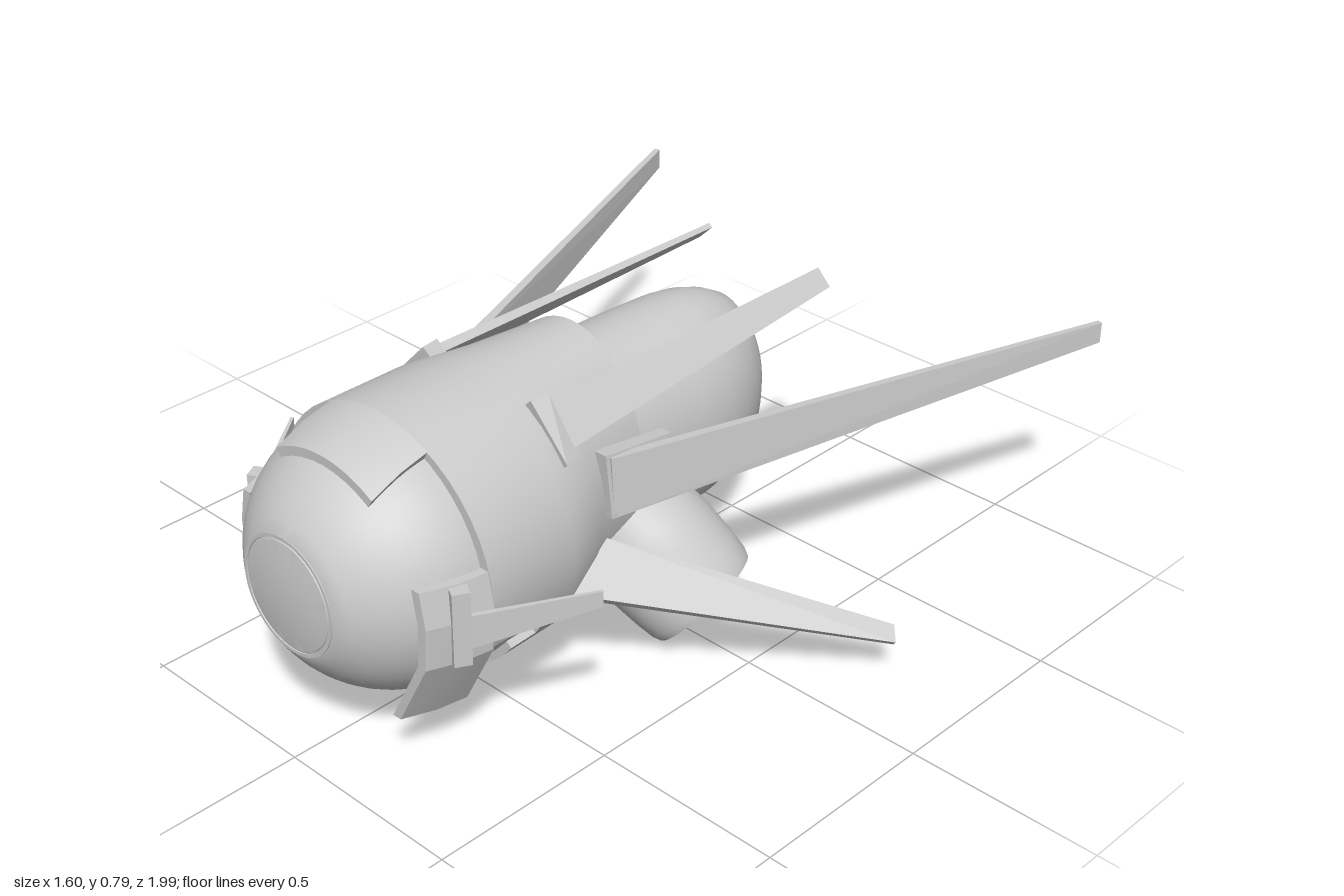
import * as THREE from 'three';
import { toCreasedNormals } from 'three/addons/utils/BufferGeometryUtils.js';
import { ConvexGeometry } from 'three/addons/geometries/ConvexGeometry.js';

const CY = 0.44; // height of the hull axis
const material = new THREE.MeshStandardMaterial({ color: 0xcccccc });
const V = (x, y, z) => new THREE.Vector3(x, y, z);

function add(parent, name, geometry) {
  const mesh = new THREE.Mesh(geometry, material);
  mesh.name = name;
  parent.add(mesh);
  return mesh;
}

// Closed solid through equal-length loops of points, with strip caps at both ends
function loft(loops, crease = 0.6) {
  const n = loops[0].length, pts = loops.flat(), index = [];
  const quad = (a, b, c, d) => index.push(a, b, c, a, c, d);
  for (let i = 0; i < loops.length - 1; i++)
    for (let j = 0; j < n; j++) {
      const k = (j + 1) % n;
      quad(i * n + j, i * n + k, (i + 1) * n + k, (i + 1) * n + j);
    }
  const e = (loops.length - 1) * n;
  for (let j = 0; j < n / 2 - 1; j++) {
    quad(n - 1 - j, n - 2 - j, j + 1, j);
    quad(e + j, e + j + 1, e + n - 2 - j, e + n - 1 - j);
  }
  // turn the faces outward whichever way the loops run
  let volume = 0;
  for (let i = 0; i < index.length; i += 3)
    volume += pts[index[i]].dot(V(0, 0, 0).crossVectors(pts[index[i + 1]], pts[index[i + 2]]));
  if (volume < 0) index.reverse();
  const g = new THREE.BufferGeometry().setFromPoints(pts);
  g.setIndex(index);
  return toCreasedNormals(g, crease);
}

const ring = (z, rx, ry, n = 48) => Array.from({ length: n }, (_, i) => {
  const a = i / n * Math.PI * 2;
  return V(rx * Math.sin(a), CY + ry * Math.cos(a), z);
});

// Thick elliptical arc: mid and half angles in degrees, measured from straight up
function arc(z, rx, ry, mid, half, t, n = 28) {
  const outer = [], inner = [];
  for (let i = 0; i <= n; i++) {
    const a = THREE.MathUtils.degToRad(mid - half + 2 * half * i / n);
    outer.push(V(rx * Math.sin(a), CY + ry * Math.cos(a), z));
    inner.unshift(V((rx - t) * Math.sin(a), CY + (ry - t) * Math.cos(a), z));
  }
  return [...outer, ...inner];
}

// Tapered blade between a root chord and a tip chord
function blade(s, [a, b], [c, d], thick, tipThick) {
  const p = [a, b, c, d].map(q => V(s * q[0], q[1], q[2]));
  const normal = p[1].clone().sub(p[0]).cross(p[2].clone().sub(p[0])).normalize();
  return new ConvexGeometry(p.flatMap((q, i) => [1, -1].map(
    k => q.clone().addScaledVector(normal, k * (i < 2 ? thick : tipThick) / 2))));
}

const lathe = (points, n = 40) => toCreasedNormals(
  new THREE.LatheGeometry(points.map(p => new THREE.Vector2(...p)), n), 0.6);

export function createModel() {
  const model = new THREE.Group();

  // Hull: round front cut off at the lens, narrowing into a tall oval rear pod
  const sections = [], R = 0.335, start = Math.asin(0.15 / R);
  for (let i = 0; i <= 10; i++) {
    const a = THREE.MathUtils.lerp(start, Math.PI / 2, i / 10), r = R * Math.sin(a);
    sections.push(ring(0.68 + R * Math.cos(a), r, Math.min(r, 0.33)));
  }
  for (const [z, rx, ry] of [[0.48, 0.33, 0.325], [0.3, 0.265, 0.305], [0.1, 0.23, 0.288],
    [-0.15, 0.222, 0.285], [-0.25, 0.212, 0.283], [-0.32, 0.196, 0.274], [-0.38, 0.172, 0.255],
    [-0.43, 0.145, 0.228], [-0.47, 0.112, 0.18], [-0.497, 0.075, 0.122], [-0.512, 0.03, 0.05]])
    sections.push(ring(z, rx, ry));
  add(model, 'hull', loft(sections, 0.9));

  // Front lens with a narrow groove around it, nearly flush with the hull
  const lens = add(model, 'frontLens', lathe([[0, -0.05], [0.15, -0.05], [0.15, 0.002],
    [0.142, 0.002], [0.139, -0.006], [0.136, 0.002], [0.1, 0.008], [0.05, 0.012], [0, 0.014]], 48));
  lens.rotation.x = Math.PI / 2;
  lens.position.set(0, CY, 0.98);

  // Armour shells
  add(model, 'upperShell', loft([
    arc(0.7, 0.36, 0.35, 0, 110, 0.035), arc(0.45, 0.36, 0.35, 0, 110, 0.035),
    arc(0.3, 0.295, 0.35, 0, 102, 0.035), arc(0.1, 0.245, 0.35, 0, 98, 0.035)]));
  add(model, 'bellyPan', loft([
    arc(0.58, 0.35, 0.35, 180, 54, 0.03), arc(0.5, 0.345, 0.35, 180, 54, 0.03),
    arc(0.5, 0.345, 0.35, 180, 62, 0.03), arc(0.2, 0.325, 0.35, 180, 62, 0.03)]));
  add(model, 'browPlate', loft([
    arc(0.7, 0.355, 0.352, 0, 27, 0.028), arc(0.78, 0.34, 0.335, 0, 28.4, 0.028),
    arc(0.86, 0.308, 0.305, 0, 31.4, 0.028)]));

  for (const s of [1, -1]) {
    const side = new THREE.Group();
    side.name = s > 0 ? 'leftSide' : 'rightSide';
    model.add(side);

    // Thin cheek plate hugging the round front
    const outline = [[0.345, 0.53], [0.362, 0.44], [0.355, 0.33], [0.262, 0.15]];
    const cheek = (z, dx) => [
      ...outline.map(([x, y]) => V(s * (x - dx), y, z)),
      ...outline.map(([x, y]) => V(s * (x - dx - 0.025), y, z)).reverse()];
    add(side, 'cheekPlate', loft([cheek(0.7, 0), cheek(0.78, 0.014), cheek(0.86, 0.045)], 0.2));

    // Small front fin and its mount
    const mount = add(side, 'smallFinMount', new THREE.BoxGeometry(0.035, 0.19, 0.042));
    mount.position.set(s * 0.345, 0.43, 0.785);
    mount.rotation.y = -s * 0.5;
    add(side, 'smallFin', blade(s, [[0.345, 0.37, 0.8], [0.345, 0.46, 0.8]],
      [[0.53, 0.45, 0.535], [0.53, 0.49, 0.535]], 0.014, 0.008));

    // Upper rear fin lying along the shell
    add(side, 'upperFinMount', blade(s, [[0.165, 0.755, 0.405], [0.28, 0.635, 0.405]],
      [[0.172, 0.755, 0.355], [0.265, 0.635, 0.355]], 0.04, 0.04));
    add(side, 'upperFin', blade(s, [[0.18, 0.745, 0.38], [0.26, 0.655, 0.38]],
      [[0.178, 0.742, -0.585], [0.218, 0.702, -0.585]], 0.024, 0.014));

    // Long swept fin
    add(side, 'longFinMount', blade(s, [[0.29, 0.455, 0.28], [0.27, 0.615, 0.28]],
      [[0.31, 0.465, 0.09], [0.3, 0.61, 0.09]], 0.045, 0.035));
    add(side, 'longFin', blade(s, [[0.3, 0.455, 0.27], [0.29, 0.61, 0.27]],
      [[0.752, 0.595, -0.995], [0.752, 0.65, -0.995]], 0.024, 0.016));

    // Lower swept fin
    add(side, 'lowerFin', blade(s, [[0.25, 0.32, 0.47], [0.25, 0.39, 0.29]],
      [[0.795, 0.114, -0.18], [0.767, 0.139, -0.207]], 0.03, 0.018));

    // Thruster: domed pod with a stepped nozzle, pointing out, down and back
    const thruster = add(side, 'thruster', lathe([[0, -0.4], [0.06, -0.388], [0.11, -0.355],
      [0.148, -0.3], [0.167, -0.23], [0.169, -0.16], [0.163, -0.07], [0.157, -0.02], [0.149, 0],
      [0.13, 0], [0.122, -0.04], [0.105, -0.04], [0.1, -0.012], [0.082, -0.012],
      [0.064, -0.06], [0.05, -0.065], [0.042, -0.03], [0, -0.025]]));
    thruster.position.set(s * 0.339, 0.111, -0.01);
    thruster.quaternion.setFromUnitVectors(V(0, 1, 0), V(s * 0.67, -0.67, -0.3).normalize());

    // Bracket behind the belly pan
    const bracket = add(side, 'thrusterBracket', new THREE.BoxGeometry(0.05, 0.04, 0.08));
    bracket.position.set(s * 0.09, 0.132, 0.18);
  }
  return model;
}
